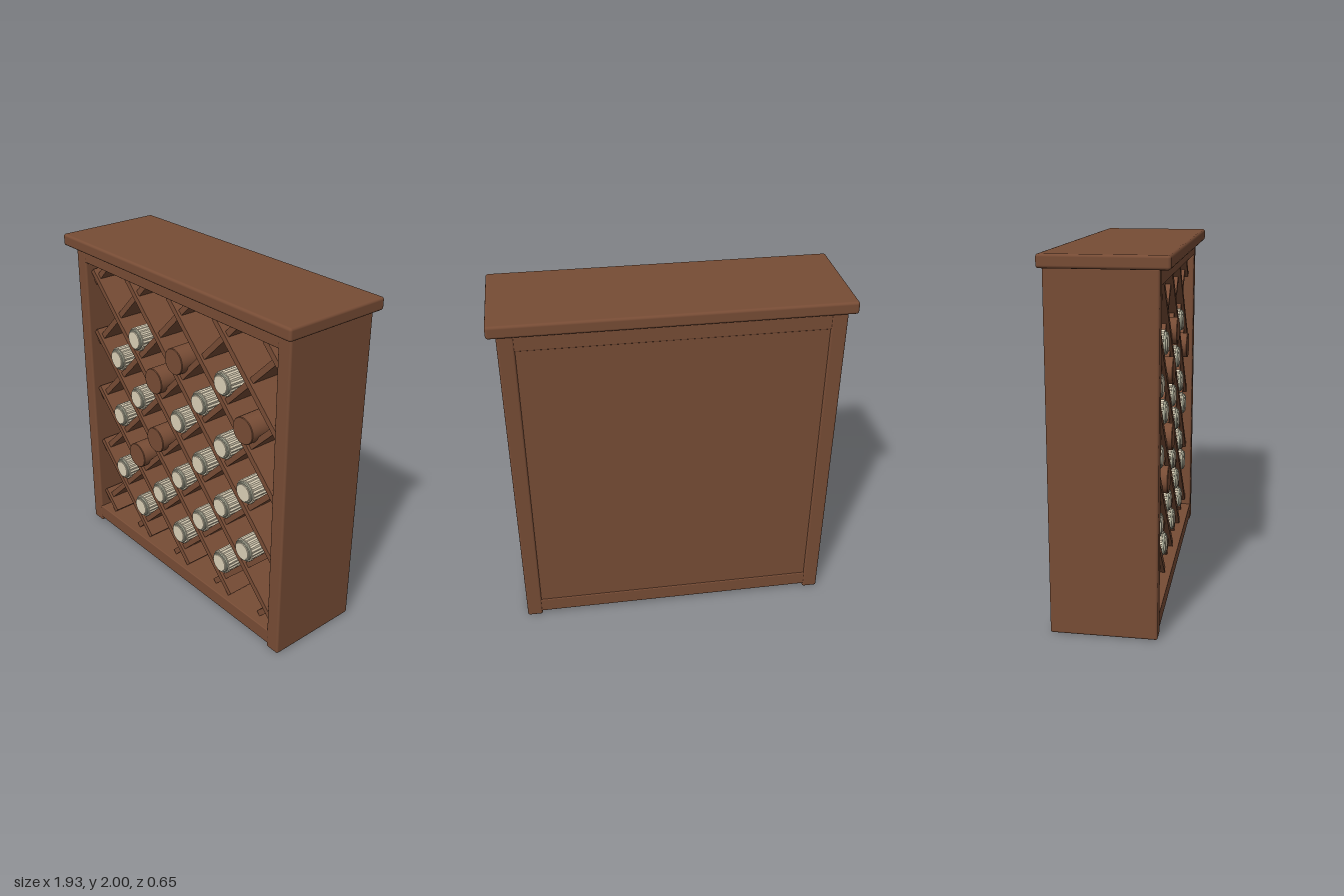
import * as THREE from 'three';
import { toCreasedNormals } from 'three/addons/utils/BufferGeometryUtils.js';
import { RoundedBoxGeometry } from 'three/addons/geometries/RoundedBoxGeometry.js';

const mat = (name, color) => {
  const m = new THREE.MeshStandardMaterial({ color });
  m.name = name;
  return m;
};

export function createModel() {
  const root = new THREE.Group();
  root.name = 'bottleRack';
  const wood = mat('brownWood', 0x774c35);
  const cream = mat('cream', 0xdacfb6);
  const grey = mat('greyGreen', 0xa9a995);

  const add = (name, geometry, material, x, y, z, parent = root) => {
    const mesh = new THREE.Mesh(geometry, material);
    mesh.name = name;
    mesh.position.set(x, y, z);
    parent.add(mesh);
    return mesh;
  };
  // Board given by its limits, with softly rounded edges
  const board = (name, x0, x1, y0, y1, z0, z1, r = 0.012) =>
    add(name, new RoundedBoxGeometry(x1 - x0, y1 - y0, z1 - z0, 2, r), wood,
      (x0 + x1) / 2, (y0 + y1) / 2, (z0 + z1) / 2);

  // Cabinet
  const inX = 0.824, outX = 0.914, y0 = 0.115, y1 = 1.842, midY = (y0 + y1) / 2;
  board('leftSide', inX, outX, 0, 1.935, -0.306, 0.268);
  board('rightSide', -outX, -inX, 0, 1.935, -0.306, 0.268);
  board('topSlab', -0.963, 0.963, 1.93, 2, -0.325, 0.325, 0.015);
  board('topRail', -inX - 0.01, inX + 0.01, y1, 1.935, -0.303, 0.266, 0.006);
  board('bottomBoard', -inX - 0.01, inX + 0.01, 0.025, y0, -0.303, 0.266, 0.006);
  board('backPanel', -inX - 0.01, inX + 0.01, 0.08, 1.88, -0.297, -0.265, 0.004);

  // Diagonal shelves running the full depth, crossing like an egg crate
  const step = 0.387, halfH = (y1 - y0) / 2;
  const shelves = (name, dir, front) => {
    const back = -0.27;
    for (let j = -4; j <= 4; j++) {
      // Shelf line is y = c + dir * x, clipped to the opening
      const c = j * step;
      const ends = [(-halfH - c) * dir, (halfH - c) * dir].sort((a, b) => a - b);
      const a = Math.max(-inX, ends[0]), b = Math.min(inX, ends[1]);
      const mx = (a + b) / 2;
      const shelf = add(name, new THREE.BoxGeometry((b - a) * Math.SQRT2 - 0.034, 0.034, front - back),
        wood, mx, midY + c + dir * mx, (front + back) / 2);
      shelf.rotation.z = dir * Math.PI / 4;
    }
  };
  shelves('fallingShelf', -1, 0.232);
  shelves('risingShelf', 1, 0.215);

  // Turned shapes, with their axis along z
  const lathe = (points, sides) => toCreasedNormals(
    new THREE.LatheGeometry(points.map(p => new THREE.Vector2(...p)), sides).rotateX(Math.PI / 2), 0.5);
  const bodyGeo = lathe([[0, -0.26], [0.074, -0.26], [0.078, -0.255], [0.078, 0.256], [0.075, 0.26], [0, 0.26]], 32);
  const neckGeo = lathe([[0, -0.26], [0.058, -0.26], [0.058, 0.125], [0, 0.125]], 24);
  const rimGeo = lathe([[0.05, 0.22], [0.062, 0.22], [0.062, 0.24], [0.058, 0.244], [0.05, 0.244], [0.05, 0.22]], 24);
  const discGeo = lathe([[0, 0.22], [0.053, 0.22], [0.053, 0.243], [0.05, 0.248], [0, 0.248]], 24);

  // Fluted cap with a scalloped outline
  const outline = new THREE.Shape(Array.from({ length: 40 }, (_, i) => {
    const a = i * Math.PI / 20, r = i % 2 ? 0.067 : 0.072;
    return new THREE.Vector2(r * Math.cos(a), r * Math.sin(a));
  }));
  const capGeo = new THREE.ExtrudeGeometry(outline, { depth: 0.115, bevelEnabled: false });

  // Each row: height, capped bottles, plain bottles turned base outwards
  const rows = [
    [1.482, [-2, 2], [0]],
    [1.29, [-3, 1], [-1, 3]],
    [1.097, [-2, 0, 2], []],
    [0.903, [-3, 1, 3], [-1]],
    [0.71, [0, 2], [-2]],
    [0.516, [-3, -1, 1, 3], []],
    [0.323, [-2, 0, 2], []],
  ];
  for (const [y, capped, plain] of rows) {
    for (const k of capped) {
      const bottle = new THREE.Group();
      bottle.name = 'cappedBottle';
      bottle.position.set(k * step / 2, y, 0);
      add('neck', neckGeo, wood, 0, 0, 0, bottle);
      add('cap', capGeo, cream, 0, 0, 0.115, bottle);
      add('capRim', rimGeo, grey, 0, 0, 0, bottle);
      add('capDisc', discGeo, cream, 0, 0, 0, bottle);
      root.add(bottle);
    }
    for (const k of plain) add('plainBottle', bodyGeo, wood, k * step / 2, y, 0);
  }
  return root;
}
